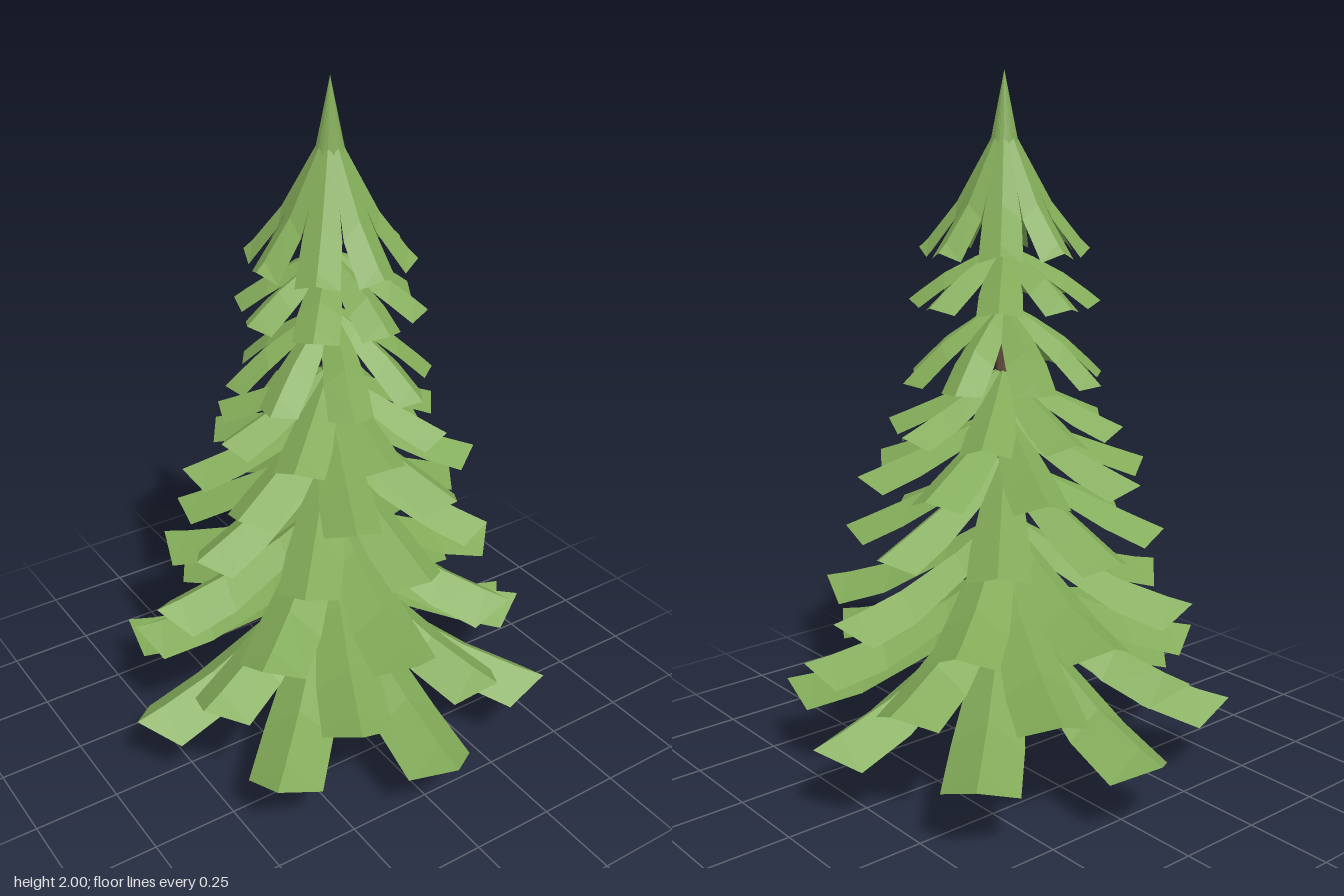
import * as THREE from 'three';

const needles = new THREE.MeshStandardMaterial({ color: 0x82ab58, flatShading: true, side: THREE.DoubleSide });
needles.name = 'needle green';
const bark = new THREE.MeshStandardMaterial({ color: 0x655040, flatShading: true });
bark.name = 'bark brown';

// One bough pointing along +x: a folded sheet with a ridge, two drooping edges and a pointed tip.
// rows: [radius, ridge height, half width]; the edges hang below the ridge by droop * half width.
function boughGeometry(rows, tip, droop) {
  const points = [];
  for (const [r, y, w] of rows) {
    points.push(r, y - w * droop, w, r, y, 0, r, y - w * droop, -w);
  }
  points.push(tip[0], tip[1], 0);
  const index = [];
  for (let i = 0; i < rows.length - 1; i++) {
    for (let s = 0; s < 2; s++) {
      const a = i * 3 + s, b = a + 3;
      index.push(a, b, b + 1, a, b + 1, a + 1);
    }
  }
  const last = (rows.length - 1) * 3, end = rows.length * 3;
  index.push(last, end, last + 1, last + 1, end, last + 2);
  const g = new THREE.BufferGeometry();
  g.setAttribute('position', new THREE.Float32BufferAttribute(points, 3));
  g.setIndex(index);
  g.computeVertexNormals();
  return g;
}

// Eight equal boughs around the trunk
function ring(name, geometry, degrees) {
  const tier = new THREE.Group();
  tier.name = name;
  for (let i = 0; i < 8; i++) {
    const bough = new THREE.Mesh(geometry, needles);
    bough.name = 'bough';
    bough.rotation.y = THREE.MathUtils.degToRad(degrees + i * 45);
    tier.add(bough);
  }
  return tier;
}

export function createModel() {
  const tree = new THREE.Group();
  tree.name = 'conifer';

  // Trunk with a slightly flared foot
  const trunk = new THREE.Mesh(new THREE.CylinderGeometry(0.015, 0.042, 1.75, 8), bark);
  trunk.name = 'trunk';
  trunk.position.y = 0.875;
  const foot = new THREE.Mesh(new THREE.CylinderGeometry(0.044, 0.046, 0.05, 8), bark);
  foot.name = 'trunkFoot';
  foot.position.y = 0.025;
  tree.add(trunk, foot);

  // Tiers: tip radius, tip height, root height, half width, turn, ridge height fractions along the bough
  const sag = [0.6, 0.25, 0.07], straight = [0.68, 0.36, 0.12], arch = [0.8, 0.5, 0.18];
  const tiers = [
    [0.66, 0.22, 0.53, 0.106, -1, sag],
    [0.59, 0.36, 0.61, 0.1, 20, sag],
    [0.548, 0.53, 0.76, 0.098, -8, sag],
    [0.46, 0.72, 0.94, 0.086, 3, straight],
    [0.425, 0.9, 1.07, 0.08, 21, straight],
    [0.338, 1.03, 1.19, 0.072, -5, straight],
    [0.295, 1.16, 1.37, 0.062, 24, arch],
    [0.267, 1.38, 1.53, 0.062, 2, arch],
  ];
  tiers.forEach(([r, y, top, w, turn, bend], i) => {
    const h = top - y;
    const rows = [
      [0.012, top, 0.014],
      [r * 0.3, y + h * bend[0], w * 0.7],
      [r * 0.62, y + h * bend[1], w * 0.95],
      [r * 0.87, y + h * bend[2], w],
    ];
    tree.add(ring('tier' + (i + 1), boughGeometry(rows, [r, y], 0.7), turn));
  });

  // Crown: steep boughs meeting in the point
  const crown = [
    [0, 2, 0.0005],
    [0.036, 1.82, 0.018],
    [0.13, 1.65, 0.052],
    [0.21, 1.55, 0.06],
  ];
  tree.add(ring('crown', boughGeometry(crown, [0.236, 1.525], 0.78), 2.5));
  return tree;
}
